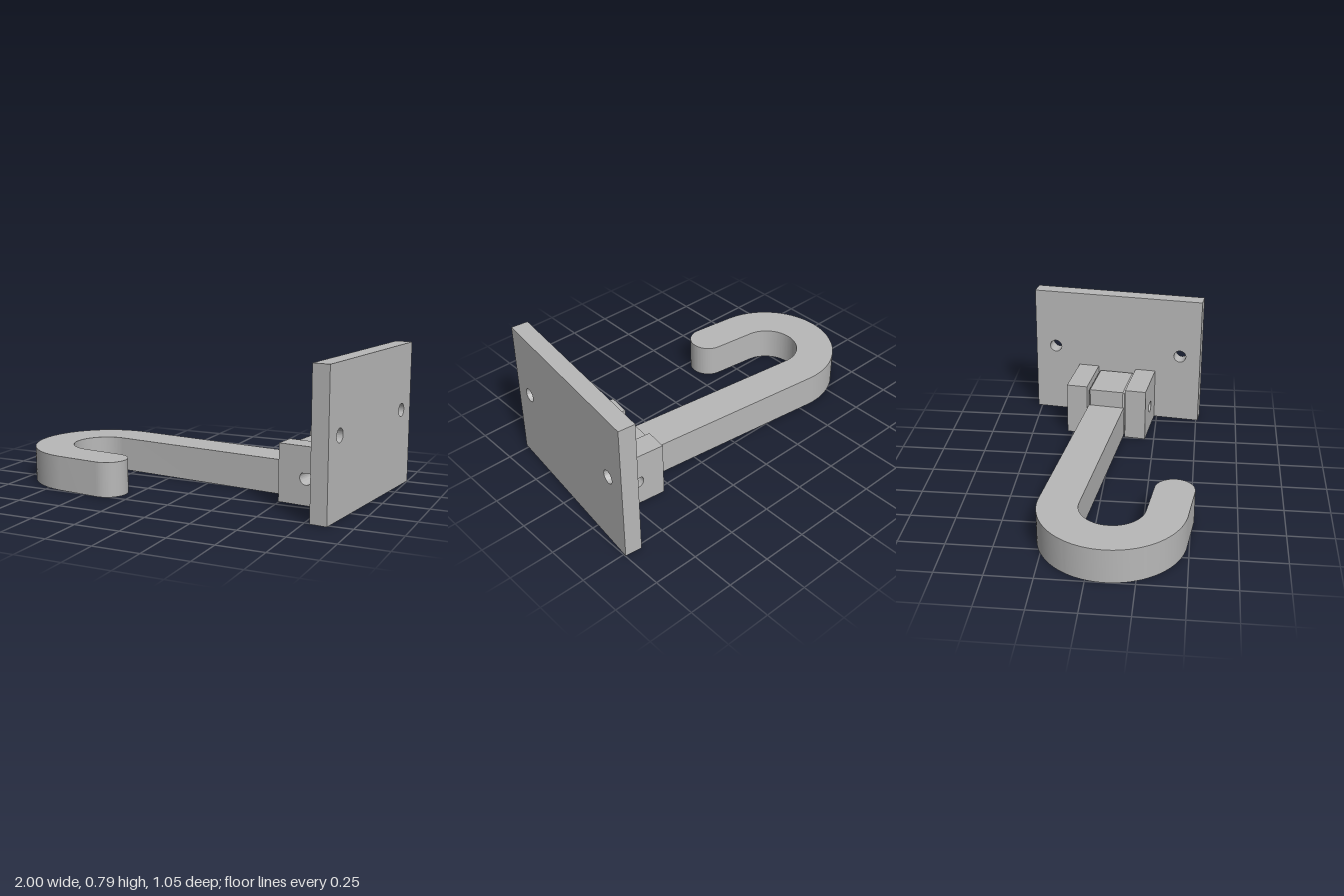
import * as THREE from 'three';
import { toCreasedNormals } from 'three/addons/utils/BufferGeometryUtils.js';

const AXIS_Z = -0.109;              // centre line of arm, hinge and plate
const PIN = { x: 0.674, y: 0.146, r: 0.036 };

const steel = new THREE.MeshStandardMaterial({ color: 0xb8b8b8 });
steel.name = 'grey';

function rect(x0, y0, x1, y1) {
  return new THREE.Shape([[x0, y0], [x1, y0], [x1, y1], [x0, y1]].map(p => new THREE.Vector2(...p)));
}

// Teardrop bore with its point upwards
function teardrop() {
  const hole = new THREE.Path();
  hole.moveTo(PIN.x, PIN.y + PIN.r * 1.414);
  hole.absarc(PIN.x, PIN.y, PIN.r, Math.PI * 0.75, Math.PI * 2.25, false);
  hole.closePath();
  return hole;
}

function extrude(shape, depth, bevel = 0) {
  return new THREE.ExtrudeGeometry(shape, {
    depth: depth - 2 * bevel, curveSegments: 40, bevelEnabled: bevel > 0,
    bevelSize: bevel, bevelThickness: bevel, bevelOffset: -bevel, bevelSegments: 1,
  }).translate(0, 0, bevel);
}

export function createModel() {
  const model = new THREE.Group();
  model.name = 'wallHook';
  const add = (name, geometry) => {
    const mesh = new THREE.Mesh(toCreasedNormals(geometry, 0.5), steel);
    mesh.name = name;
    model.add(mesh);
  };

  // Wall plate with two screw holes
  const plate = rect(-0.522, 0, 0.522, 0.79);
  for (const side of [-1, 1]) {
    plate.holes.push(new THREE.Path().absarc(side * 0.396, 0.428, 0.037, 0, Math.PI * 2, true));
  }
  add('wallPlate', extrude(plate, 0.093).rotateY(Math.PI / 2).translate(0.836, 0, AXIS_Z));

  // Two hinge brackets either side of the knuckle
  for (const [name, z] of [['frontBracket', AXIS_Z + 0.118], ['backBracket', AXIS_Z - 0.243]]) {
    const bracket = rect(0.515, 0, 0.838, 0.315);
    bracket.holes.push(teardrop());
    add(name, extrude(bracket, 0.125).translate(0, 0, z));
  }

  // Knuckle, cut away at the lower corner next to the plate
  const knuckle = new THREE.Shape();
  knuckle.moveTo(0.527, 0);
  knuckle.lineTo(0.725, 0);
  knuckle.lineTo(0.821, 0.096);
  knuckle.lineTo(0.821, 0.293);
  knuckle.lineTo(0.527, 0.293);
  knuckle.closePath();
  knuckle.holes.push(teardrop());
  add('hingeKnuckle', extrude(knuckle, 0.222, 0.01).translate(0, 0, AXIS_Z - 0.111));

  // Arm, bend and rounded tip in one flat outline
  const H = Math.PI / 2;
  const hook = new THREE.Shape();
  hook.moveTo(0.537, 0.002);
  hook.lineTo(0.537, 0.218);
  hook.lineTo(-0.593, 0.218);
  hook.absarc(-0.593, -0.173, 0.391, H, 3 * H, false);
  hook.lineTo(-0.354, -0.564);
  hook.absarc(-0.354, -0.456, 0.108, -H, H, false);
  hook.lineTo(-0.593, -0.348);
  hook.absarc(-0.593, -0.173, 0.175, 3 * H, H, true);
  hook.closePath();
  add('hookArm', extrude(hook, 0.19).rotateX(-H));

  // The whole hook sits slightly turned
  model.rotation.y = -0.121;
  return model;
}
